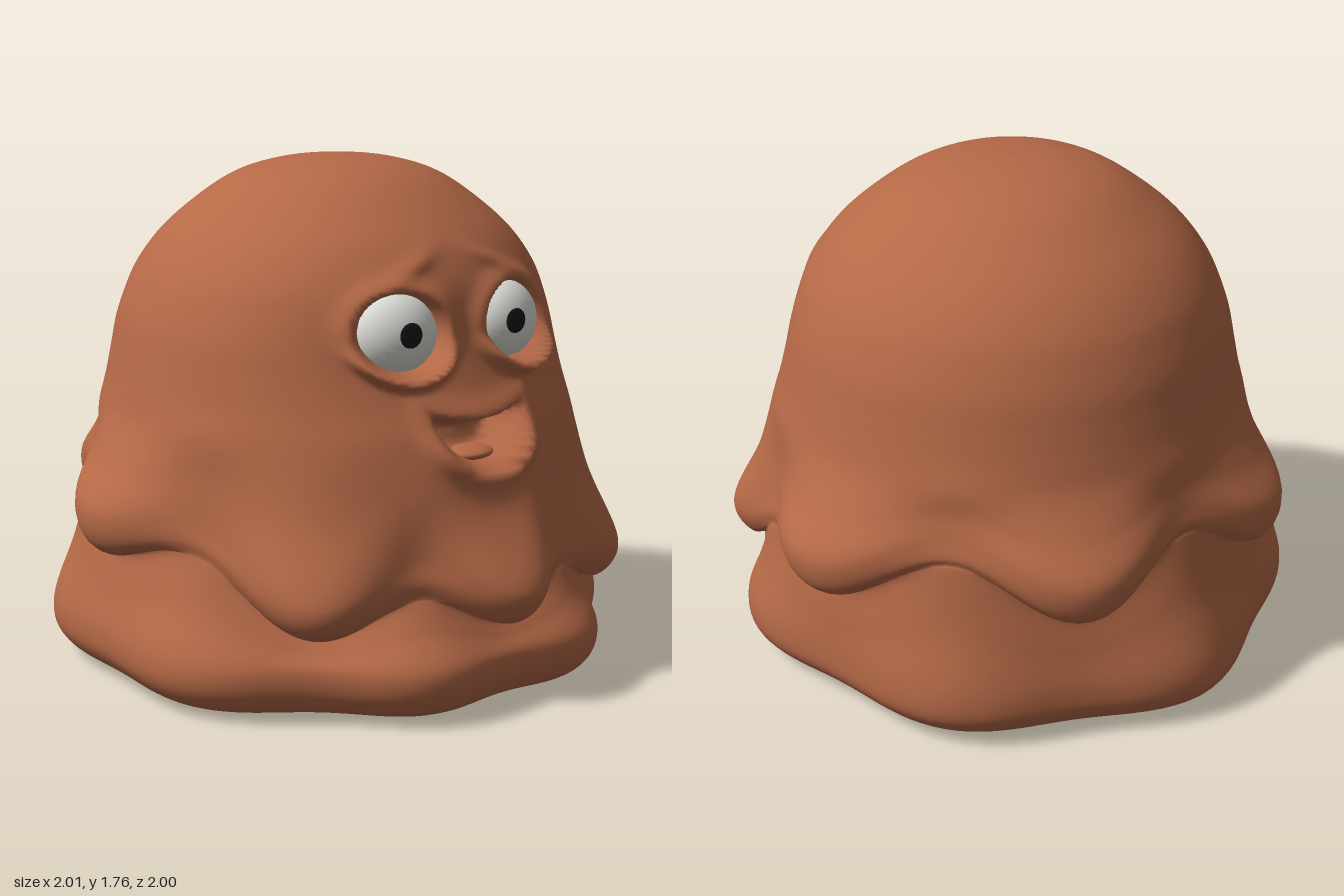
import * as THREE from 'three';

const { smoothstep, lerp } = THREE.MathUtils;
const gauss = (v, w) => Math.exp(-(v / w) * (v / w));

// Vertical profile of the body at one angle: dome, draped hem, skirt, underside
function profile(a) {
  // seven drape lobes, spaced a little closer towards the face
  const phase = 7 * (a + 0.138 * Math.sin(a) + 0.052 * Math.sin(2 * a));
  const lobe = (1 + Math.cos(phase)) / 2;      // drape hangs out here
  const gap = 1 - lobe;                        // skirt swells between the lobes
  const face = Math.pow(Math.max(0, Math.cos(a)), 3);
  const front = smoothstep(Math.cos(a), -0.1, 0.75);
  const soft = gap * (1 - front);              // hem melts away between rear lobes
  const hem = 0.47 - 0.18 * front + 0.11 * gap + 0.08 * soft;
  const bulge = hem + 0.16 - 0.04 * front - 0.08 * soft;
  const swell = 0.07 * gap - 0.05 * Math.max(0, -Math.sin(a));
  const points = [
    [0, 1.76], [0.2, 1.74], [0.36 - 0.02 * face, 1.69], [0.51 - 0.03 * face, 1.59],
    [0.62 - 0.04 * face, 1.49], [0.7 - 0.06 * face, 1.38],
    [0.74 - 0.08 * face, 1.29], [0.77 - 0.1 * face, 1.2],
    [0.79 - 0.09 * face, 1.1], [0.81 - 0.07 * face, 1.0],
    [0.835 - 0.05 * face, 0.9],
    [lerp(0.84, 0.91 - 0.06 * face, lobe), (0.9 + bulge) / 2],
    [lerp(0.86, 1.0, lobe), bulge],
    [lerp(0.875, 0.985, lobe), hem + 0.05 - 0.025 * soft],
    [lerp(0.87, 0.93, lobe), hem],
    [0.875, hem - 0.01 + 0.01 * lobe],
    [0.9 + 0.4 * swell, (hem + 0.2) / 2],
    [0.94 + swell, 0.19],
    [0.93 + swell, 0.1],
    [0.86 + swell, 0.03],
    [0.76, 0.005 + 0.03 * lobe],
    [0, 0.03],
  ];
  return new THREE.CatmullRomCurve3(points.map(([r, y]) => new THREE.Vector3(r, y, 0)));
}

// Radial relief of the face: eye sockets, lids, brows, mouth and lips
function relief(z, y) {
  let d = 0;
  for (const side of [1, -1]) {
    const e = Math.hypot((z - side * 0.24) / 0.155, (y - 1.235) / 0.13);
    const below = smoothstep(1.24 - y, 0.02, 0.13);
    d -= 0.085 * (1 - smoothstep(e, 0.82, 1.06));
    d += lerp(0.025, 0.065, below) * gauss(e - 1.15, lerp(0.26, 0.17, below));
    // raised worried brow
    d += 0.02 * gauss(y - 1.45 + 0.4 * (Math.abs(z) - 0.15), 0.03) * gauss(z - side * 0.17, 0.1);
  }
  // bowl-shaped open mouth under a sagging upper lip
  const u = z - 0.01;
  const bowl = (1 - Math.hypot(u / 0.195, (y - 0.965) / 0.175)) * 0.175;
  const inside = Math.min(bowl, 0.95 + 0.8 * u * u - y);
  d -= 0.13 * smoothstep(inside, -0.005, 0.04);
  d += lerp(0.045, 0.015, smoothstep(y, 0.82, 0.95)) * gauss(inside + 0.02, 0.04);
  return d;
}

function bodyGeometry() {
  const cols = 200, rows = 168;
  const positions = [], index = [];
  const curves = [];
  for (let j = 0; j < cols; j++) {
    const t = (j / cols) * Math.PI * 2;
    const a = t - 0.6 * Math.sin(t);           // finer columns around the face
    curves.push([a, profile(a)]);
  }
  for (let i = 0; i <= rows; i++) {
    for (const [a, curve] of curves) {
      const p = curve.getPoint(i / rows);
      let r = Math.max(0, p.x);
      if (Math.cos(a) > 0.5 && p.y > 0.65 && p.y < 1.6) r += relief(r * Math.sin(a), p.y);
      positions.push(r * Math.cos(a), Math.max(0, p.y), r * Math.sin(a));
    }
  }
  for (let i = 0; i < rows; i++) {
    for (let j = 0; j < cols; j++) {
      const k = (j + 1) % cols;
      const a = i * cols + j, b = i * cols + k, c = a + cols, d = b + cols;
      index.push(a, b, c, b, d, c);
    }
  }
  const g = new THREE.BufferGeometry();
  g.setAttribute('position', new THREE.Float32BufferAttribute(positions, 3));
  g.setIndex(index);
  g.computeVertexNormals();
  return g;
}

export function createModel() {
  const clay = new THREE.MeshStandardMaterial({ color: 0xb56947 });
  clay.name = 'clay brown';
  const white = new THREE.MeshStandardMaterial({ color: 0xdcdcd6 });
  white.name = 'eye white';
  const black = new THREE.MeshStandardMaterial({ color: 0x161616 });
  black.name = 'pupil black';

  const model = new THREE.Group();
  model.name = 'blobCreature';

  function add(parent, name, geometry, material, position, scale = [1, 1, 1]) {
    const mesh = new THREE.Mesh(geometry, material);
    mesh.name = name;
    mesh.position.set(...position);
    mesh.scale.set(...scale);
    parent.add(mesh);
    return mesh;
  }

  add(model, 'body', bodyGeometry(), clay, [0, 0, 0]);

  const ball = new THREE.SphereGeometry(1, 28, 20);
  add(model, 'tongue', ball, clay, [0.69, 0.825, 0.01], [0.08, 0.025, 0.1]);

  // Eyes turned slightly outward, both pupils drifting to the same side
  for (const [name, side, shift] of [['leftEye', 1, -0.014], ['rightEye', -1, 0.05]]) {
    const eye = new THREE.Group();
    eye.name = name;
    eye.position.set(0.57, 1.225, side * 0.238);
    eye.rotation.y = -side * 0.21;
    add(eye, 'eyeball', ball, white, [0, 0, 0], [0.115, 0.14, 0.16]);
    const depth = 0.115 * Math.sqrt(1 - (shift / 0.16) ** 2);
    const pupil = add(eye, 'pupil', ball, black, [depth - 0.002, 0.013, shift], [0.008, 0.042, 0.042]);
    pupil.rotation.y = -Math.atan2(shift * 0.115, 0.16 * 0.16);
    model.add(eye);
  }
  return model;
}
